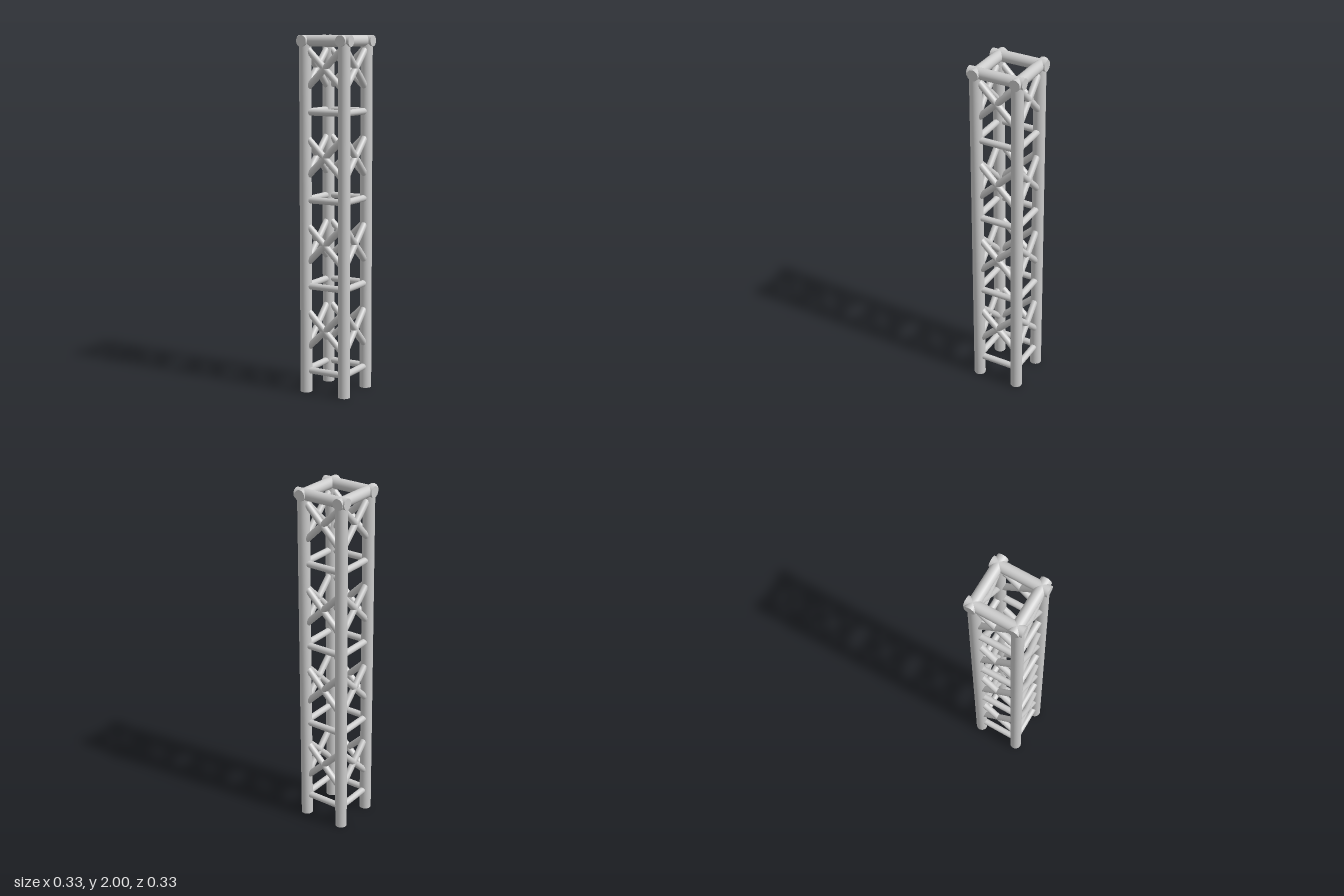
import * as THREE from 'three';

const POST = 0.123;          // distance of the post axes from the centre
const BAY = 0.486;           // height of one bay

export function createModel() {
  const group = new THREE.Group();
  group.name = 'boxTrussTower';
  const material = new THREE.MeshStandardMaterial({ color: 0xcccccc });
  const up = new THREE.Vector3(0, 1, 0);

  // Round bar between two points
  function bar(name, a, b, radius, parent) {
    const from = new THREE.Vector3(...a), to = new THREE.Vector3(...b);
    const dir = to.clone().sub(from);
    const mesh = new THREE.Mesh(new THREE.CylinderGeometry(radius, radius, dir.length(), 24), material);
    mesh.position.copy(from).add(to).multiplyScalar(0.5);
    mesh.quaternion.setFromUnitVectors(up, dir.normalize());
    mesh.name = name;
    parent.add(mesh);
  }

  // Four corner posts
  for (const x of [-POST, POST]) {
    for (const z of [-POST, POST]) bar('post', [x, 0, z], [x, 1.97, z], 0.0335, group);
  }

  // Rungs and crossed braces, the same on all four sides
  for (let side = 0; side < 4; side++) {
    const panel = new THREE.Group();
    panel.name = 'sideLattice';
    panel.rotation.y = side * Math.PI / 2;
    for (let i = 0; i < 4; i++) {
      const y = 0.125 + i * BAY, mid = 0.363 + i * BAY;
      bar('rung', [-POST, y, POST], [POST, y, POST], 0.0185, panel);
      for (const s of [-1, 1]) {
        bar('diagonalBrace', [-POST, mid - s * 0.119, POST], [POST, mid + s * 0.119, POST], 0.0185, panel);
      }
    }
    group.add(panel);
  }

  // Top frame: overlapping tubes that run past the corners
  const END = 0.163, TOP = 1.969;
  for (const c of [-0.1255, 0.1185]) {
    bar('topTubeAcross', [-END, TOP, c], [END, TOP, c], 0.031, group);
    bar('topTubeAlong', [c, TOP, -END], [c, TOP, END], 0.031, group);
  }
  return group;
}
